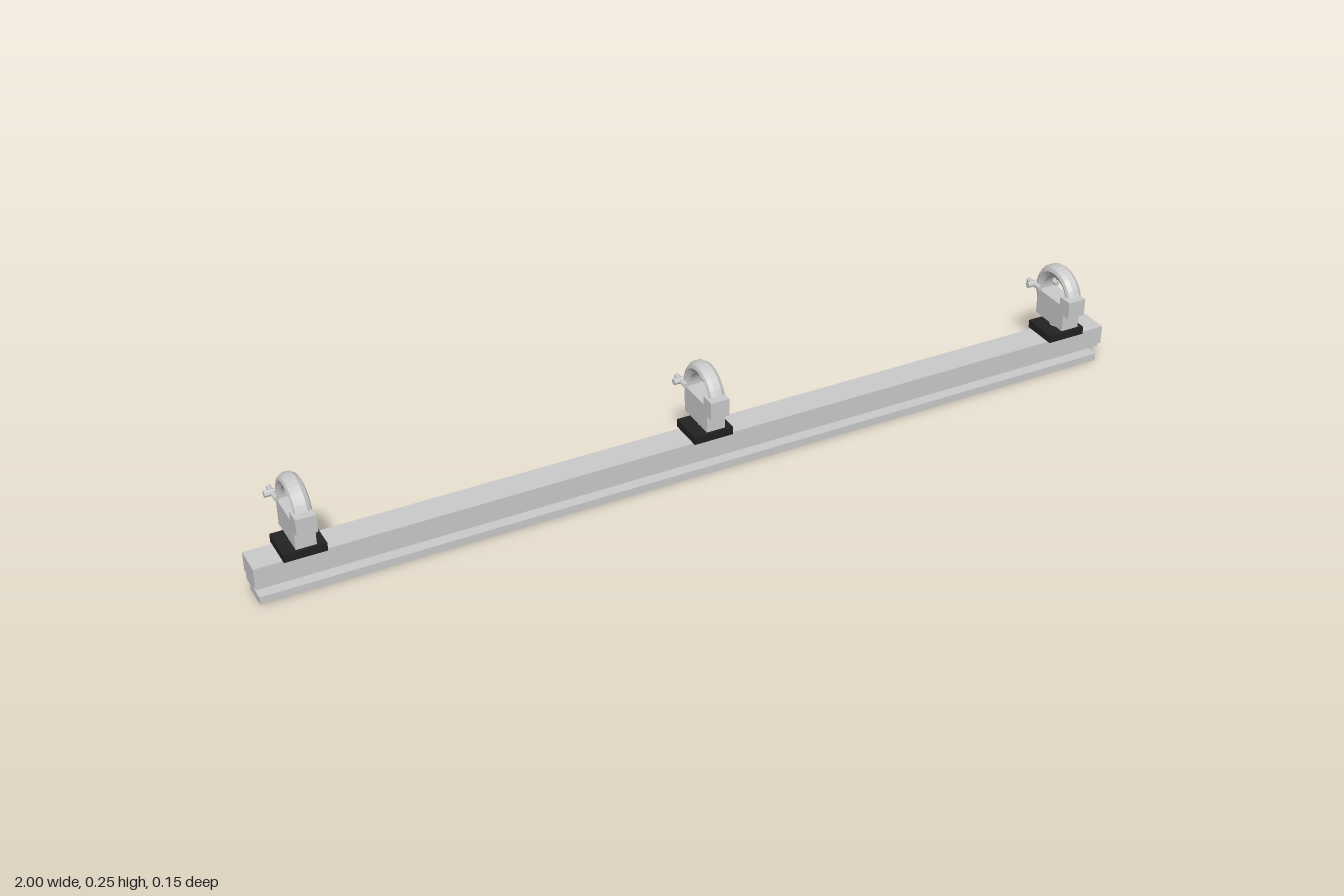
import * as THREE from 'three';

const grey = new THREE.MeshStandardMaterial({ color: 0xcccccc, flatShading: true, side: THREE.DoubleSide });
const black = new THREE.MeshStandardMaterial({ color: 0x222222, flatShading: true });

function add(parent, name, geometry, material = grey) {
  const mesh = new THREE.Mesh(geometry, material);
  mesh.name = name;
  parent.add(mesh);
  return mesh;
}

// Box given by its centre x, width, and y and z ranges
function box(parent, name, x, width, y0, y1, z0, z1, material) {
  const mesh = add(parent, name, new THREE.BoxGeometry(width, y1 - y0, z1 - z0), material);
  mesh.position.set(x, (y0 + y1) / 2, (z0 + z1) / 2);
}

// Extrude a (z, y) outline along x, centred on x = 0
function extrudeX(outline, width) {
  const shape = new THREE.Shape(outline.map(([z, y]) => new THREE.Vector2(-z, y)));
  return new THREE.ExtrudeGeometry(shape, { depth: width, bevelEnabled: false })
    .translate(0, 0, -width / 2).rotateY(Math.PI / 2);
}

// Curved hook: a bevelled section swept about the x axis, with closed ends
function addHook(parent) {
  const hook = new THREE.Group();
  hook.name = 'hook';
  const section = [[0.043, -0.012], [0.056, -0.019], [0.063, -0.016], [0.069, -0.007],
    [0.069, 0.007], [0.063, 0.016], [0.056, 0.019], [0.043, 0.012]]
    .map(([r, x]) => new THREE.Vector2(r, x));
  const start = THREE.MathUtils.degToRad(-252), sweep = THREE.MathUtils.degToRad(231);
  add(hook, 'hookBand', new THREE.LatheGeometry([...section, section[0]], 20, start, sweep));
  for (const angle of [start, start + sweep]) {
    add(hook, 'hookEnd', new THREE.ShapeGeometry(new THREE.Shape(section)).rotateY(angle - Math.PI / 2));
  }
  hook.rotation.z = -Math.PI / 2;
  hook.position.set(0, 0.185, 0.008);
  parent.add(hook);
}

function createClamp() {
  const clamp = new THREE.Group();
  clamp.name = 'clamp';
  box(clamp, 'mountingPlate', 0, 0.09, 0.091, 0.109, -0.032, 0.05, black);
  add(clamp, 'stem', new THREE.CylinderGeometry(0.015, 0.015, 0.014, 12)).position.set(0, 0.115, 0.008);
  // Stepped jaw block with a raised front lip
  add(clamp, 'jaw', extrudeX([[0.059, 0.12], [0.059, 0.16], [0.077, 0.16], [0.077, 0.2],
    [0.043, 0.2], [0.043, 0.181], [-0.041, 0.181], [-0.041, 0.12]], 0.043));
  addHook(clamp);
  // Cross pin and the two bolts behind the hook
  const pin = add(clamp, 'crossPin', new THREE.CylinderGeometry(0.007, 0.007, 0.08, 8).rotateZ(Math.PI / 2));
  pin.position.set(0, 0.186, -0.056);
  for (const side of [-1, 1]) {
    const bolt = add(clamp, 'bolt', new THREE.CylinderGeometry(0.006, 0.006, 0.047, 8).rotateX(Math.PI / 2));
    bolt.position.set(side * 0.023, 0.186, -0.0535);
  }
  return clamp;
}

export function createModel() {
  const model = new THREE.Group();
  model.name = 'railLight';

  // Long housing with a narrower lower step
  add(model, 'rail', extrudeX([[0.042, 0.09], [0.042, 0.047], [0.031, 0.047], [0.031, 0.033],
    [-0.013, 0.033], [-0.013, 0.047], [-0.024, 0.047], [-0.024, 0.09]], 2));
  // Separate strip below the housing
  box(model, 'lowerStrip', 0, 1.986, 0, 0.018, -0.021, 0.037);

  for (const x of [-0.895, 0, 0.895]) {
    const clamp = createClamp();
    clamp.position.x = x;
    model.add(clamp);
  }
  return model;
}
